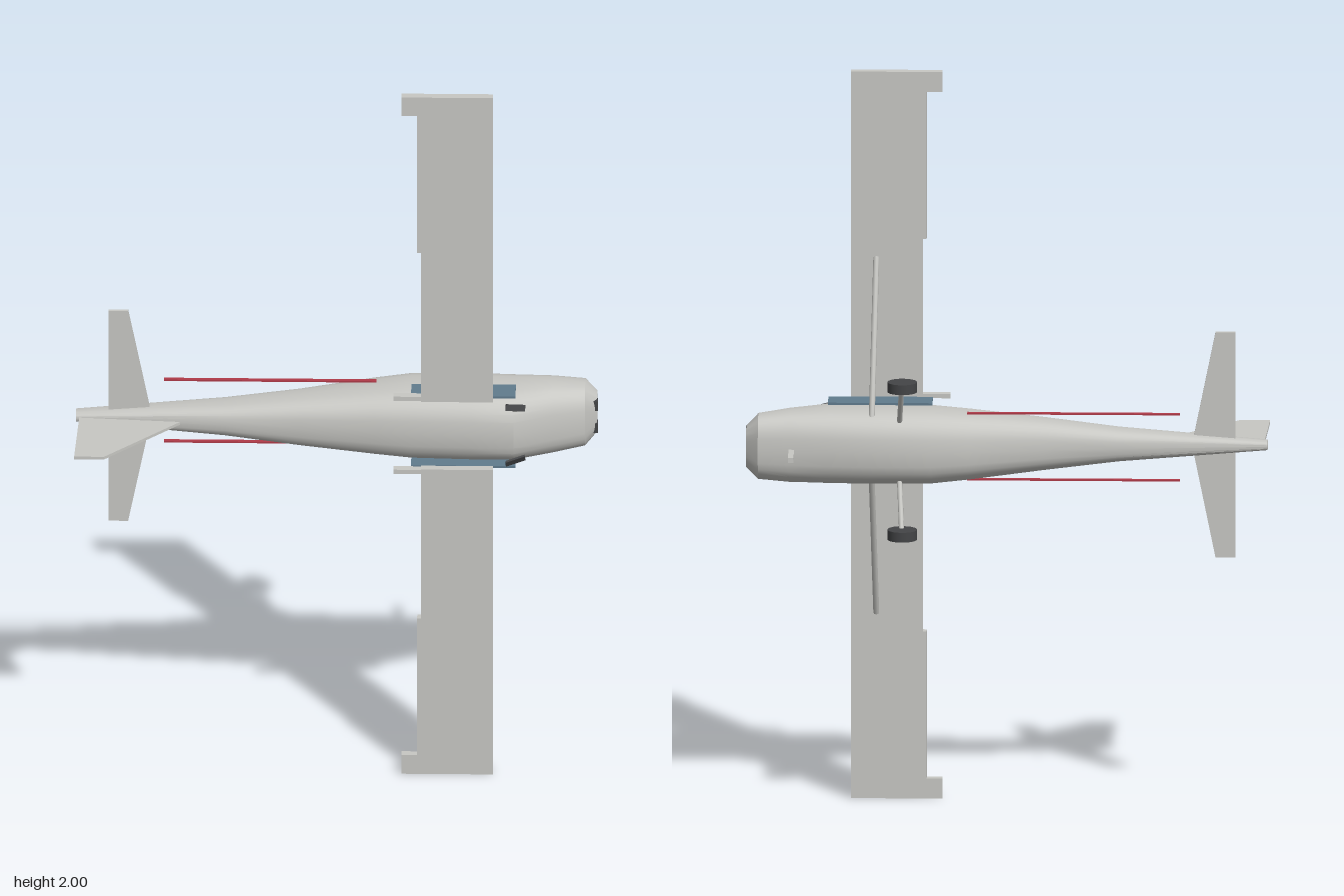
import * as THREE from 'three';
import { toCreasedNormals } from 'three/addons/utils/BufferGeometryUtils.js';

const material = (name, color) => {
  const m = new THREE.MeshStandardMaterial({ color });
  m.name = name;
  return m;
};

// The aircraft is pitched on its side: nose +x, wingspan along y, roof towards +z.
export function createModel() {
  const paint = material('grey paint', 0xc8c8c4);
  const glass = material('blue glass', 0x617c8e);
  const rubber = material('dark rubber', 0x444547);
  const red = material('red stripe', 0xb03a48);

  const model = new THREE.Group();
  model.name = 'aircraft';
  const body = new THREE.Group(); // centreline at y = 0 inside this group
  body.name = 'airframe';
  body.position.y = 1;
  model.add(body);

  const add = (name, geometry, mat, x = 0, y = 0, z = 0) => {
    const mesh = new THREE.Mesh(geometry, mat);
    mesh.name = name;
    mesh.position.set(x, y, z);
    body.add(mesh);
    return mesh;
  };
  // box given by its limits on each axis
  const box = (name, mat, [x0, x1], [y0, y1], [z0, z1]) =>
    add(name, new THREE.BoxGeometry(x1 - x0, Math.abs(y1 - y0), z1 - z0), mat,
      (x0 + x1) / 2, (y0 + y1) / 2, (z0 + z1) / 2);
  // flat panel in the x-y plane
  const panel = (name, points, z, depth) => {
    const shape = new THREE.Shape(points.map(p => new THREE.Vector2(...p)));
    return add(name, new THREE.ExtrudeGeometry(shape, { depth, bevelEnabled: false }), paint, 0, 0, z);
  };
  const rod = (name, a, b, radius) => {
    const from = new THREE.Vector3(...a), to = new THREE.Vector3(...b);
    const dir = to.clone().sub(from);
    const mesh = add(name, new THREE.CylinderGeometry(radius, radius, dir.length(), 8), paint);
    mesh.position.copy(from).add(to).multiplyScalar(0.5);
    mesh.quaternion.setFromUnitVectors(new THREE.Vector3(0, 1, 0), dir.normalize());
  };

  add('fuselage', fuselageGeometry(), paint);

  // upright tail fin
  const fin = new THREE.Shape([[-0.69, -0.01], [-0.42, -0.01], [-0.42, 0.035], [-0.62, 0.26], [-0.7, 0.26]]
    .map(p => new THREE.Vector2(...p)));
  const finGeometry = new THREE.ExtrudeGeometry(fin, { depth: 0.008, bevelEnabled: false });
  finGeometry.rotateX(Math.PI / 2).translate(0, 0.004, 0);
  add('tailFin', finGeometry, paint);

  box('bellyAerial', paint, [0.567, 0.582], [-0.007, 0.007], [-0.23, -0.11]);

  for (const s of [1, -1]) {
    const side = s > 0 ? 'left' : 'right';
    const flip = points => points.map(([x, y]) => [x, y * s]);

    // wing with flap step and tip tab
    panel(side + 'Wing', flip([[0.42, 0.1], [0.42, 1], [0.175, 1], [0.175, 0.945], [0.217, 0.945],
      [0.217, 0.54], [0.227, 0.54], [0.227, 0.1]]), 0.077, 0.025);
    box(side + 'WingRoot', paint, [0.153, 0.42], [s * 0.102, s * 0.114], [0.077, 0.1]);

    panel(side + 'Tailplane', flip([[-0.613, 0], [-0.497, 0], [-0.56, 0.31], [-0.613, 0.31]]), -0.02, 0.011);

    // cabin glazing
    box(side + 'Window', glass, [0.2, 0.48], [s * 0.1, s * 0.106], [0, 0.076]);
    const pane = add(side + 'WindscreenCorner', new THREE.BoxGeometry(0.055, 0.018, 0.006), rubber,
      0.48, s * 0.078, 0.088);
    pane.rotation.set(-s * 0.5, 0.4, 0);

    box(side + 'Stripe', red, [-0.465, 0.105], [s * 0.089, s * 0.093], [-0.055, -0.042]);

    rod(side + 'WingStrut', [0.36, s * 0.08, -0.1], [0.352, s * 0.49, 0.08], 0.008);

    // main landing gear
    rod(side + 'GearLeg', [0.285, s * 0.08, -0.115], [0.277, s * 0.2, -0.215], 0.007);
    add(side + 'Wheel', new THREE.CylinderGeometry(0.04, 0.04, 0.027, 20), rubber, 0.275, s * 0.203, -0.225);

    box(side + 'AirIntake', rubber, [0.675, 0.699], [s * 0.018, s * 0.047], [-0.047, -0.024]);
  }
  return model;
}

// Rounded-square rings: x, half width, bottom z, top z
function fuselageGeometry() {
  const rings = [
    [-0.7, 0.012, -0.04, 0.012], [-0.3, 0.043, -0.071, 0.045], [-0.1, 0.067, -0.09, 0.065],
    [0.1, 0.089, -0.132, 0.084], [0.2, 0.098, -0.15, 0.094], [0.36, 0.1, -0.15, 0.099],
    [0.475, 0.1, -0.142, 0.098], [0.58, 0.096, -0.133, 0.045], [0.665, 0.086, -0.13, 0.012],
    [0.697, 0.055, -0.1, -0.03],
  ];
  const n = 28, positions = [], index = [];
  const round = v => Math.sign(v) * Math.abs(v) ** 0.65;
  for (const [x, w, low, high] of rings) {
    for (let j = 0; j < n; j++) {
      const a = j / n * Math.PI * 2;
      positions.push(x, w * round(Math.cos(a)), (low + high) / 2 + (high - low) / 2 * round(Math.sin(a)));
    }
  }
  const last = rings.length - 1;
  for (let i = 0; i < last; i++) {
    for (let j = 0; j < n; j++) {
      const k = (j + 1) % n;
      const a = i * n + j, d = i * n + k, b = a + n, c = d + n;
      index.push(a, d, c, a, c, b);
    }
  }
  // end caps
  for (let j = 1; j < n - 1; j++) {
    index.push(0, j + 1, j);
    index.push(last * n, last * n + j, last * n + j + 1);
  }
  const geometry = new THREE.BufferGeometry();
  geometry.setAttribute('position', new THREE.Float32BufferAttribute(positions, 3));
  geometry.setIndex(index);
  return toCreasedNormals(geometry, 0.45);
}
